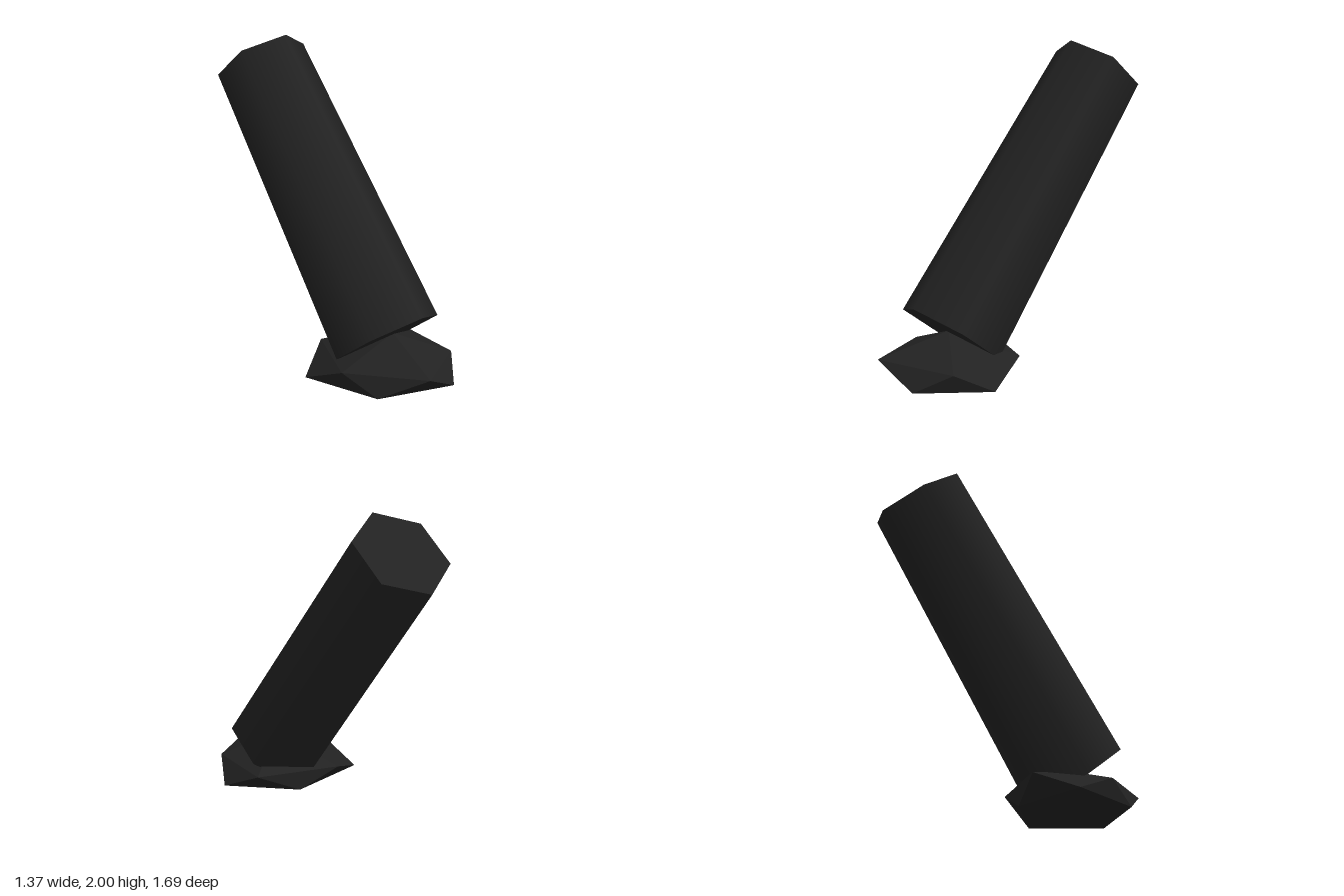
import * as THREE from 'three';

// Faceted base: flat lower ring, staggered upper ring and a low peak
function makeBaseGeometry() {
  const lower = [[-0.245, 0, 0.395], [0.145, 0, 0.745], [0.64, 0, 0.635], [0.655, 0, 0.15], [0.15, 0, 0.06]];
  const upper = [[-0.05, 0.12, 0.61], [0.44, 0.145, 0.84], [0.68, 0.115, 0.395], [0.43, 0.14, -0.015], [-0.11, 0.13, 0.13]];
  const peak = [0.3, 0.27, 0.41];
  const positions = [];
  const face = (...corners) => corners.forEach((c) => positions.push(...c));
  for (let i = 0; i < 5; i++) {
    const j = (i + 1) % 5;
    face(peak, upper[i], upper[j]);
    face(upper[i], lower[j], upper[j]);
    face(lower[i], lower[j], upper[i]);
    if (i > 0 && i < 4) face(lower[0], lower[j], lower[i]);
  }
  const geometry = new THREE.BufferGeometry();
  geometry.setAttribute('position', new THREE.Float32BufferAttribute(positions, 3));
  geometry.computeVertexNormals(); // unshared corners give flat facets
  return geometry;
}

// Tapered six-sided post leaning between two centres, one corner facing up
function makePostGeometry() {
  const bottom = new THREE.Vector3(0.27, 0.24, 0.4);
  const top = new THREE.Vector3(-0.4, 1.82, -0.6);
  const axis = top.clone().sub(bottom);
  const geometry = new THREE.CylinderGeometry(0.304, 0.351, axis.length(), 6);
  axis.normalize();
  const corner = new THREE.Vector3(0.17, 0.21, 0.225);
  corner.addScaledVector(axis, -corner.dot(axis)).normalize();
  const side = new THREE.Vector3().crossVectors(axis, corner);
  const matrix = new THREE.Matrix4().makeBasis(side, axis, corner);
  matrix.setPosition(bottom.add(top).multiplyScalar(0.5));
  return geometry.applyMatrix4(matrix);
}

export function createModel() {
  const group = new THREE.Group();
  group.name = 'leaningPost';

  const charcoal = new THREE.MeshStandardMaterial({ color: 0x222222 });
  charcoal.name = 'charcoal';

  const post = new THREE.Mesh(makePostGeometry(), charcoal);
  post.name = 'post';
  const base = new THREE.Mesh(makeBaseGeometry(), charcoal);
  base.name = 'base';
  group.add(post, base);
  return group;
}
